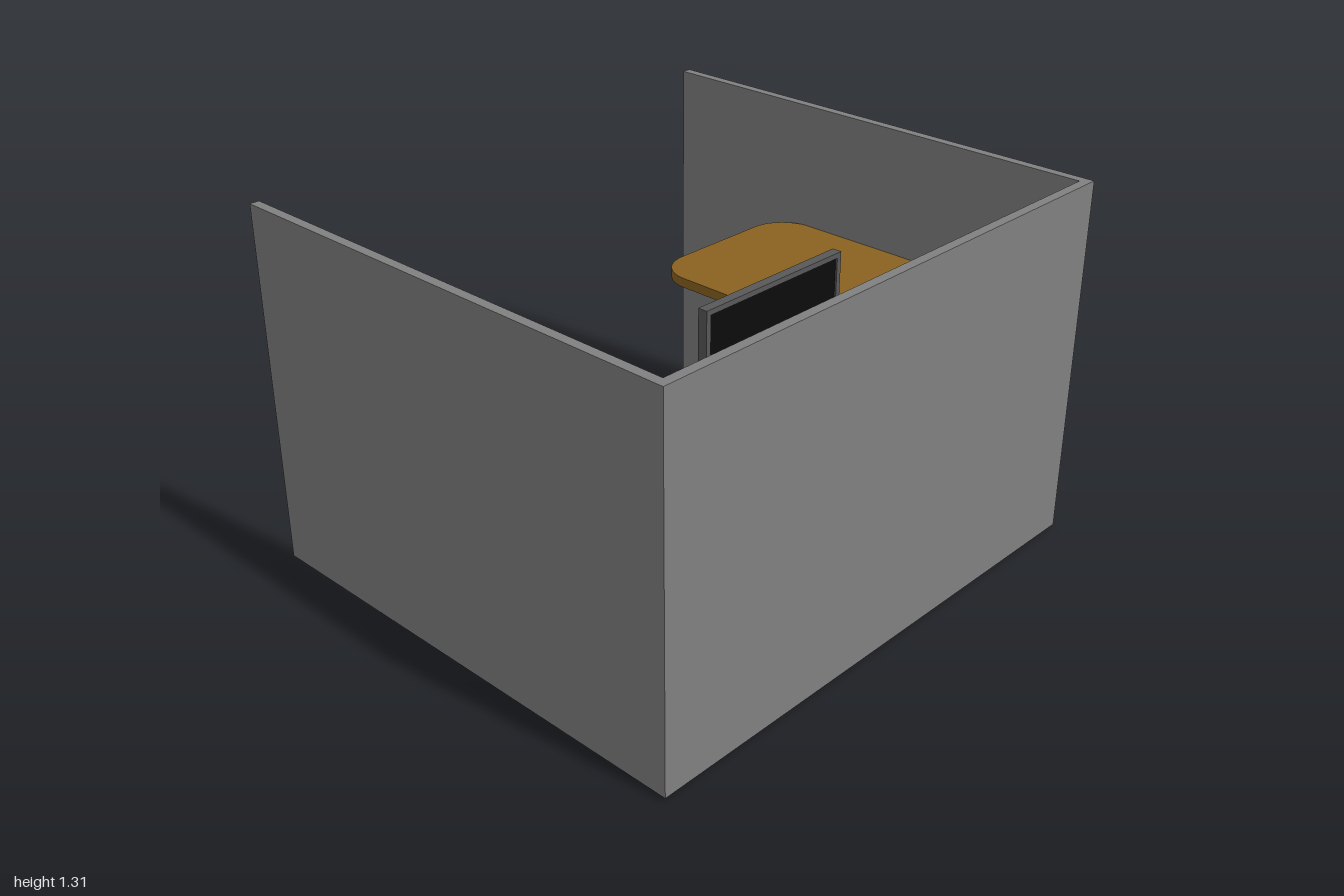
import * as THREE from 'three';
import { toCreasedNormals } from 'three/addons/utils/BufferGeometryUtils.js';

const W = 0.9, L = 1, T = 0.034;          // half width, half length, wall thickness
const WALL_Y = 0.01, WALL_TOP = 1.315;
const DESK_TOP = 0.85, DESK_T = 0.035;

const paint = (color) => new THREE.MeshStandardMaterial({ color });
const wallMat = paint(0x808080);
const deskMat = paint(0x8a6220);
const legMat = paint(0xcccccc);
const frameMat = paint(0x58585a);
const screenMat = paint(0x0c0c0c);

function add(parent, name, geometry, material, x = 0, y = 0, z = 0) {
  const mesh = new THREE.Mesh(geometry, material);
  mesh.name = name;
  mesh.position.set(x, y, z);
  parent.add(mesh);
  return mesh;
}

// Three partition walls, open towards -x
function makeWalls() {
  const g = new THREE.Group();
  g.name = 'partitionWalls';
  const h = WALL_TOP - WALL_Y, y = WALL_Y + h / 2;
  add(g, 'longWall', new THREE.BoxGeometry(T, h, 2 * L), wallMat, W - T / 2, y, 0);
  for (const s of [1, -1]) {
    add(g, s > 0 ? 'frontWall' : 'backWall', new THREE.BoxGeometry(2 * W - T, h, T),
      wallMat, -T / 2, y, s * (L - T / 2));
  }
  return g;
}

// L-shaped desk top with rounded corners and a concave inner sweep
function makeDeskTop() {
  const x0 = -0.39, x1 = 0.835, xi = 0.25, z0 = -0.965, z1 = 0.965, zi = -0.285;
  const r = 0.14, R = 0.29, q = Math.PI / 2;
  const s = new THREE.Shape();
  s.moveTo(x0 + r, z0);
  s.absarc(x1 - r, z0 + r, r, -q, 0, false);
  s.absarc(x1 - r, z1 - r, r, 0, q, false);
  s.absarc(xi + r, z1 - r, r, q, 2 * q, false);
  s.absarc(xi - R, zi + R, R, 0, -q, true);
  s.absarc(x0 + r, zi - r, r, q, 2 * q, false);
  s.absarc(x0 + r, z0 + r, r, 2 * q, 3 * q, false);
  const geo = new THREE.ExtrudeGeometry(s, { depth: DESK_T, bevelEnabled: false, curveSegments: 16 });
  geo.rotateX(Math.PI / 2);
  return toCreasedNormals(geo, 0.6);
}

function makeDesk() {
  const g = new THREE.Group();
  g.name = 'desk';
  add(g, 'deskTop', makeDeskTop(), deskMat, 0, DESK_TOP, 0);
  const h = DESK_TOP - DESK_T;
  const leg = new THREE.CylinderGeometry(0.024, 0.024, h, 24);
  for (const [x, z] of [[-0.02, -0.62], [0.59, -0.825], [0.59, 0.83]]) {
    add(g, 'deskLeg', leg, legMat, x, h / 2, z);
  }
  return g;
}

// Monitor: open frame, dark panel and an inverted V stand
function makeMonitor() {
  const g = new THREE.Group();
  g.name = 'monitor';
  const w = 0.586, y0 = 0.92, y1 = 1.285, b = 0.017, d = 0.032;
  const h = y1 - y0, cy = (y0 + y1) / 2;
  for (const s of [1, -1]) {
    add(g, 'frameRail', new THREE.BoxGeometry(d, b, w), frameMat, 0, cy + s * (h - b) / 2, 0);
    add(g, 'frameSide', new THREE.BoxGeometry(d, h - 2 * b, b), frameMat, 0, cy, s * (w - b) / 2);
    // Stand leg slanting from the centre of the frame to the desk
    const dz = 0.205, dy = y0 - DESK_TOP - 0.004;
    const leg = add(g, 'standLeg', new THREE.BoxGeometry(0.02, 0.012, Math.hypot(dz, dy)), frameMat,
      0, DESK_TOP + 0.006 + dy / 2, s * dz / 2);
    leg.rotation.x = s * Math.atan2(dy, dz);
  }
  add(g, 'screen', new THREE.BoxGeometry(d - 0.012, h - 2 * b, w - 2 * b), screenMat, 0, cy, 0);
  g.position.set(0.618, 0, 0.262);
  return g;
}

export function createModel() {
  const model = new THREE.Group();
  model.name = 'officeCubicle';
  model.add(makeWalls(), makeDesk(), makeMonitor());
  return model;
}
